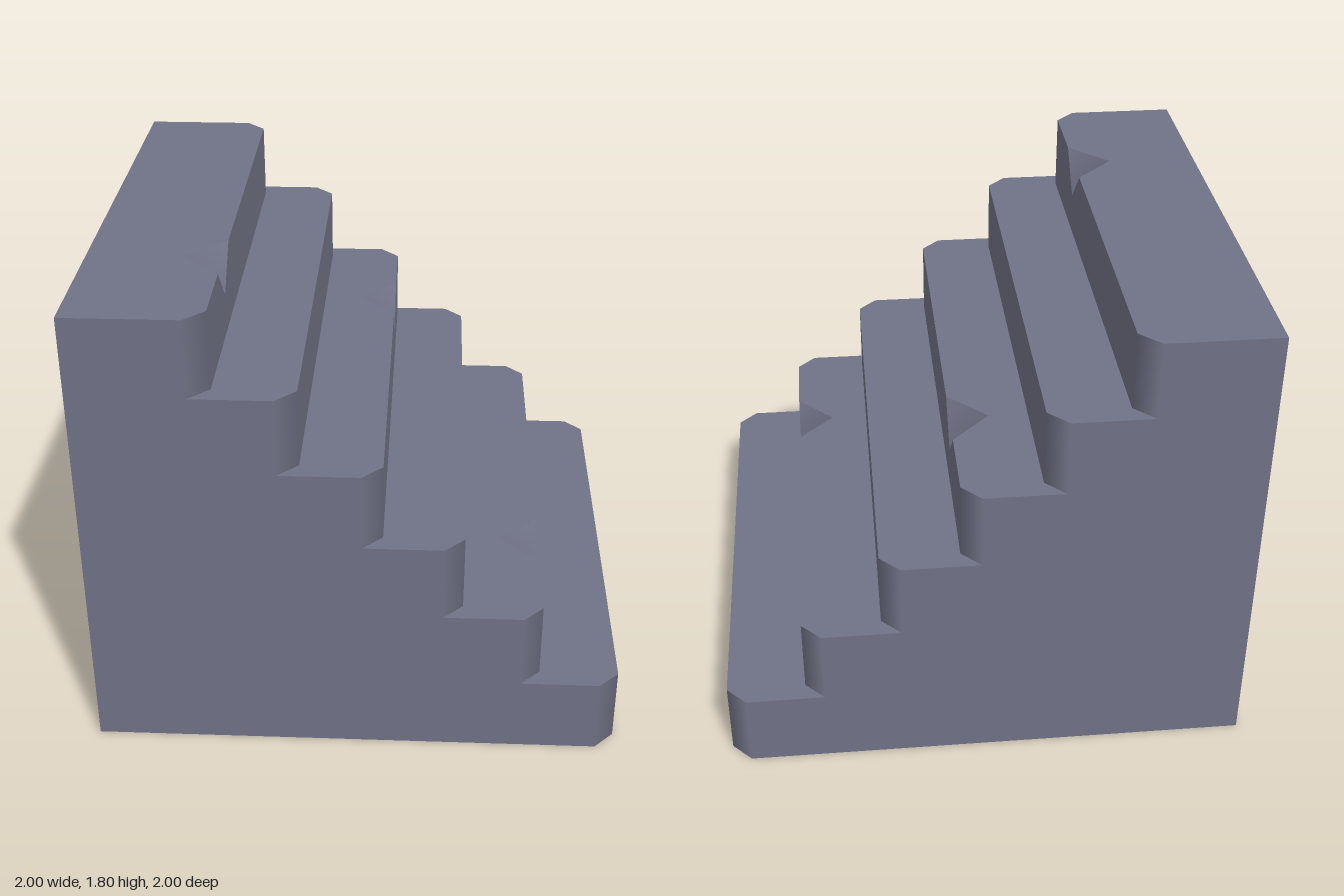
import * as THREE from 'three';

const STEPS = 6, RISE = 0.3, RUN = 0.3, CUT = 0.075, CHIP = 0.15;
// z position of the chipped spot on the steps that have one
const CHIPS = { 1: 0.475, 3: -0.475, 5: 0.475 };
const frontX = (k) => 1 - RUN * k;

// Collects flat polygons [x, y, z]; n is the outward direction, normals optional per corner
class Faces {
  constructor() { this.pos = []; this.nor = []; }
  add(points, n, normals) {
    const axis = n.map(Math.abs).indexOf(Math.max(...n.map(Math.abs)));
    const flat = points.map((p) => new THREE.Vector2(...p.filter((_, i) => i !== axis)));
    const out = new THREE.Vector3(...n).normalize();
    for (const tri of THREE.ShapeUtils.triangulateShape(flat, [])) {
      const [a, b, c] = tri.map((i) => new THREE.Vector3(...points[i]));
      const facing = b.sub(a).cross(c.sub(a)).dot(out);
      const order = facing < 0 ? [tri[0], tri[2], tri[1]] : tri;
      for (const i of order) {
        const v = normals ? new THREE.Vector3(...normals[i]).normalize() : out;
        this.pos.push(...points[i]);
        this.nor.push(v.x, v.y, v.z);
      }
    }
  }
  mesh(name, material) {
    const g = new THREE.BufferGeometry();
    g.setAttribute('position', new THREE.Float32BufferAttribute(this.pos, 3));
    g.setAttribute('normal', new THREE.Float32BufferAttribute(this.nor, 3));
    const m = new THREE.Mesh(g, material);
    m.name = name;
    return m;
  }
}

export function createModel() {
  const group = new THREE.Group();
  group.name = 'staircase';
  const stone = new THREE.MeshStandardMaterial({ color: 0x707286 });
  stone.name = 'slate stone';

  const treads = new Faces(), risers = new Faces(), corners = new Faces();
  const chips = new Faces(), sides = new Faces(), base = new Faces();
  const profile = [[-1, 0]];

  for (let k = 0; k < STEPS; k++) {
    const x = frontX(k), y0 = k * RISE, y1 = y0 + RISE, xs = x - CUT, ze = 1 - CUT;
    const zc = CHIPS[k], chipped = zc !== undefined;
    profile.push([xs, y0], [xs, y1]);

    // Tread: front outline with its chip, back to the foot of the next step
    const chipTop = chipped ? [[x, y1, zc + CHIP], [x - CHIP, y1, zc], [x, y1, zc - CHIP]] : [];
    const nx = frontX(k + 1);
    const back = k === STEPS - 1
      ? [[-1, y1, -1], [-1, y1, 1]]
      : [[nx - CUT, y1, -1], [nx, y1, -ze], [nx, y1, ze], [nx - CUT, y1, 1]];
    treads.add([[xs, y1, 1], [x, y1, ze], ...chipTop, [x, y1, -ze], [xs, y1, -1], ...back], [0, 1, 0]);

    // Riser
    const chipFront = chipped ? [[x, y1, zc + CHIP], [x, y1 - CHIP, zc], [x, y1, zc - CHIP]] : [];
    risers.add([[x, y0, ze], [x, y1, ze], ...chipFront, [x, y1, -ze], [x, y0, -ze]], [1, 0, 0]);

    for (const s of [1, -1]) {
      // Softened vertical corner
      const sideN = [0, 0, s], frontN = [1, 0, 0];
      corners.add([[xs, y0, s], [x, y0, s * ze], [x, y1, s * ze], [xs, y1, s]],
        [1, 0, s], [sideN, frontN, frontN, sideN]);
      // Half of the V-shaped chip
      if (chipped) {
        chips.add([[x, y1, zc + s * CHIP], [x - CHIP, y1, zc], [x, y1 - CHIP, zc]],
          [1, 1, -s], [[1, 1, -s], [1, 1, 0], [1, 1, 0]]);
      }
    }
  }

  // Stepped side walls
  profile.push([-1, STEPS * RISE]);
  for (const s of [1, -1]) sides.add(profile.map(([x, y]) => [x, y, s]), [0, 0, s]);

  // Back wall and underside
  const top = STEPS * RISE;
  base.add([[-1, 0, -1], [-1, 0, 1], [-1, top, 1], [-1, top, -1]], [-1, 0, 0]);
  base.add([[-1, 0, -1], [1 - CUT, 0, -1], [1, 0, CUT - 1], [1, 0, 1 - CUT], [1 - CUT, 0, 1], [-1, 0, 1]],
    [0, -1, 0]);

  group.add(
    treads.mesh('treads', stone), risers.mesh('risers', stone),
    corners.mesh('stepCorners', stone), chips.mesh('edgeChips', stone),
    sides.mesh('sideWalls', stone), base.mesh('backAndUnderside', stone),
  );
  return group;
}
